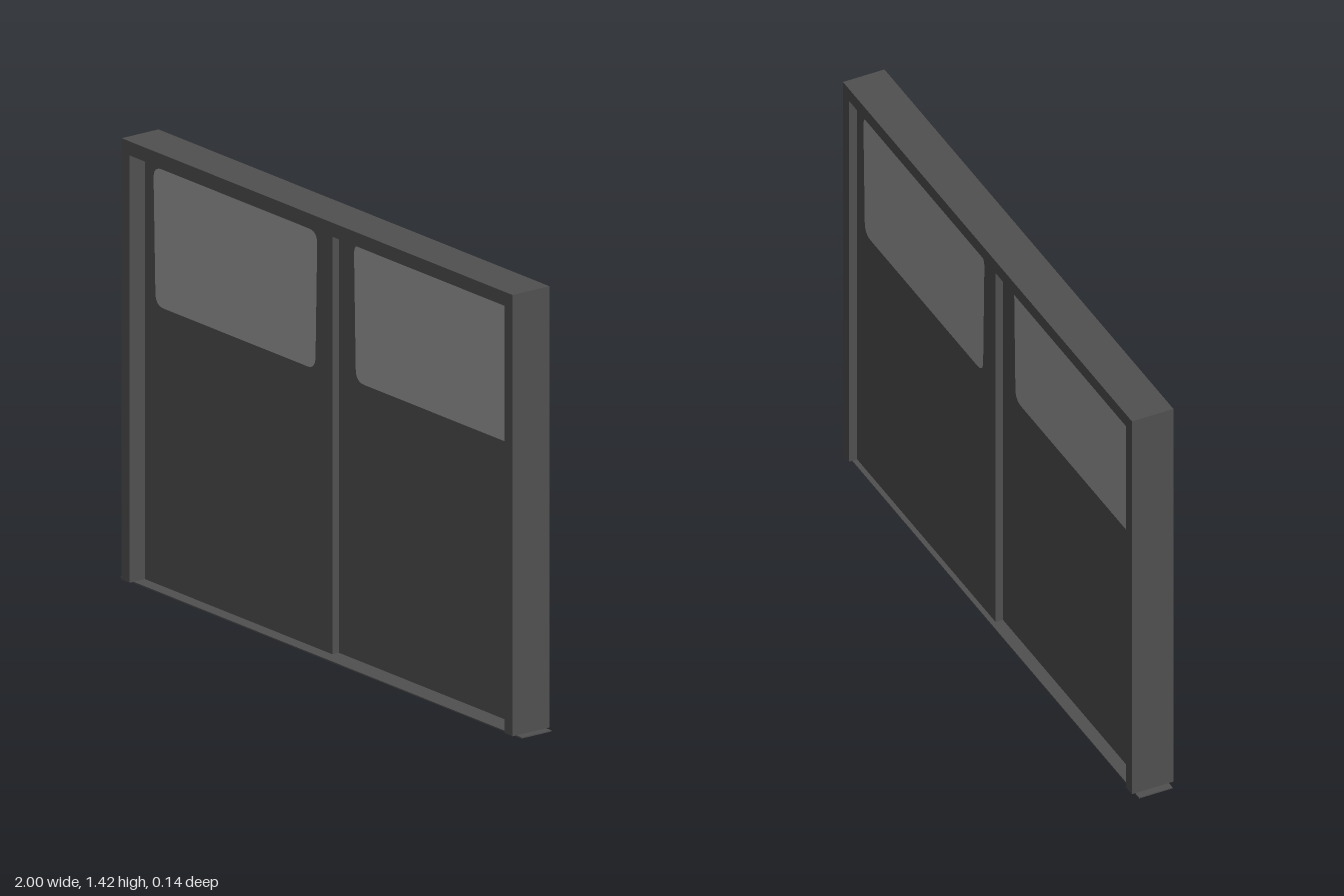
import * as THREE from 'three';

const frameMaterial = new THREE.MeshStandardMaterial({ color: 0x505050 });
frameMaterial.name = 'dark grey';
const glassMaterial = new THREE.MeshStandardMaterial({ color: 0x9e9e9e });
glassMaterial.name = 'light grey glass';

const TOP = 1.425, HALF = 0.975, INNER = 0.935, LINTEL = 1.38;

function polygon(points) {
  return new THREE.Shape(points.map(([x, y]) => new THREE.Vector2(x, y)));
}

// Polygon with its corners rounded by quadratic curves
function roundedShape(points, radius) {
  const p = points.map(([x, y]) => new THREE.Vector2(x, y));
  const shape = new THREE.Shape();
  p.forEach((corner, i) => {
    const prev = p[(i + p.length - 1) % p.length];
    const next = p[(i + 1) % p.length];
    const a = corner.clone().add(prev.clone().sub(corner).setLength(radius));
    const b = corner.clone().add(next.clone().sub(corner).setLength(radius));
    if (i === 0) shape.moveTo(a.x, a.y);
    else shape.lineTo(a.x, a.y);
    shape.quadraticCurveTo(corner.x, corner.y, b.x, b.y);
  });
  shape.closePath();
  return shape;
}

function slab(name, shape, back, front, material) {
  const geometry = new THREE.ExtrudeGeometry(shape, {
    depth: front - back, bevelEnabled: false, curveSegments: 6,
  });
  const mesh = new THREE.Mesh(geometry, material);
  mesh.position.z = back;
  mesh.name = name;
  return mesh;
}

// Door leaf with a flush, slightly tapered window; side is +1 (left) or -1 (right)
function createDoor(name, side, back, front) {
  const door = new THREE.Group();
  door.name = name;
  const leaf = polygon([[0, 0], [side * INNER, 0], [side * INNER, LINTEL], [0, LINTEL]]);
  const pane = roundedShape(
    [[0.085, 0.9], [0.882, 0.9], [0.893, 1.345], [0.075, 1.345]].map(([x, y]) => [side * x, y]),
    0.04,
  );
  leaf.holes.push(new THREE.Path(pane.getPoints(6)));
  door.add(slab(name + 'Leaf', leaf, back, front, frameMaterial));
  door.add(slab(name + 'Window', pane, back, front, glassMaterial));
  return door;
}

export function createModel() {
  const model = new THREE.Group();
  model.name = 'slidingDoubleDoor';

  // Surround: two posts and a lintel in one piece
  const surround = polygon([
    [-HALF, 0.007], [-INNER, 0.007], [-INNER, LINTEL], [INNER, LINTEL],
    [INNER, 0.007], [HALF, 0.007], [HALF, TOP], [-HALF, TOP],
  ]);
  model.add(slab('doorFrame', surround, -0.071, 0.071, frameMaterial));

  // Leaves run on two adjacent tracks
  model.add(createDoor('rightDoor', -1, -0.018, 0.012));
  model.add(createDoor('leftDoor', 1, -0.043, -0.013));

  // Thin threshold projecting past the posts
  const sill = new THREE.Mesh(new THREE.BoxGeometry(2, 0.004, 0.115), frameMaterial);
  sill.position.set(0, 0.005, -0.002);
  sill.name = 'threshold';
  model.add(sill);

  return model;
}
